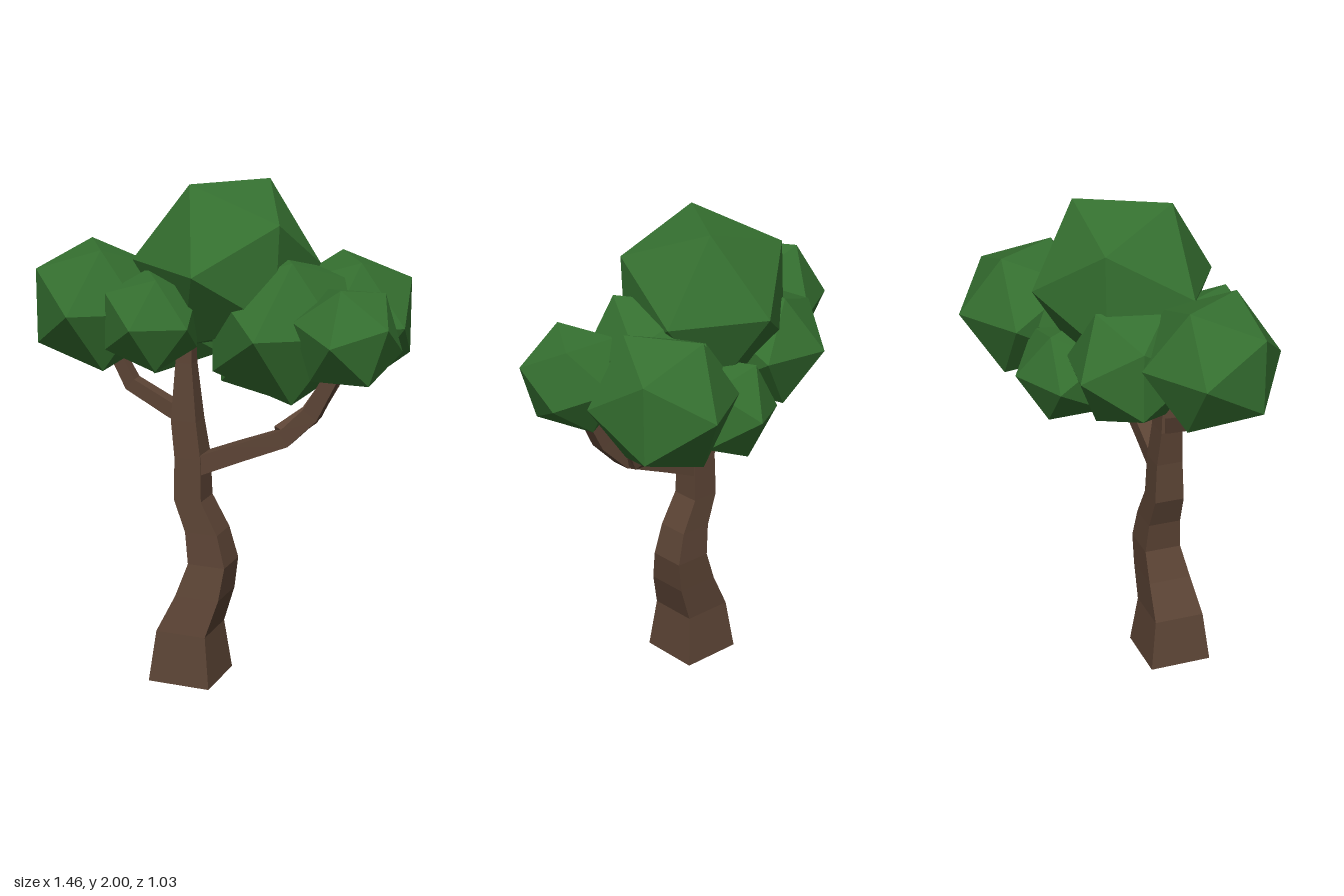
import * as THREE from 'three';

const bark = new THREE.MeshStandardMaterial({ color: 0x5c4435, flatShading: true });
const leaf = new THREE.MeshStandardMaterial({ color: 0x357030, flatShading: true });

// Square-section limb through points [x, y, z, halfWidth, halfDepth].
// ref is the direction one pair of sides keeps facing; level keeps all rings horizontal.
function limb(name, points, ref, level = false) {
  const centres = points.map(p => new THREE.Vector3(p[0], p[1], p[2]));
  const pos = [], index = [], last = points.length - 1;
  points.forEach(([, , , w, d = w], i) => {
    const t = level ? new THREE.Vector3(0, 1, 0)
      : centres[Math.min(i + 1, last)].clone().sub(centres[Math.max(i - 1, 0)]).normalize();
    const n = ref.clone().addScaledVector(t, -ref.dot(t)).normalize();
    const b = new THREE.Vector3().crossVectors(t, n);
    for (const [u, v] of [[1, 1], [-1, 1], [-1, -1], [1, -1]]) {
      const c = centres[i].clone().addScaledVector(b, u * w).addScaledVector(n, v * d);
      pos.push(c.x, c.y, c.z);
    }
  });
  for (let i = 0; i < last; i++) {
    for (let k = 0; k < 4; k++) {
      const a = i * 4 + k, b = i * 4 + (k + 1) % 4;
      // corners run clockwise around the limb direction
      index.push(a, a + 4, b, b, a + 4, b + 4);
    }
  }
  const e = last * 4;
  index.push(0, 1, 2, 0, 2, 3, e, e + 2, e + 1, e, e + 3, e + 2);
  let geo = new THREE.BufferGeometry();
  geo.setAttribute('position', new THREE.Float32BufferAttribute(pos, 3));
  geo.setIndex(index);

  // make the winding face outwards whichever way the section runs
  let volume = 0;
  const P = i => new THREE.Vector3().fromArray(pos, i * 3);
  for (let i = 0; i < index.length; i += 3) {
    volume += P(index[i]).dot(P(index[i + 1]).cross(P(index[i + 2])));
  }
  if (volume < 0) geo.setIndex(index.reverse());
  geo = geo.toNonIndexed();
  geo.computeVertexNormals();
  const mesh = new THREE.Mesh(geo, bark);
  mesh.name = name;
  return mesh;
}

// Icosahedral leaf clump with a corner facing the front, spun about z, then turned about y
function clump(name, x, y, z, r, phase, turn = 0) {
  const geo = new THREE.IcosahedronGeometry(r, 0);
  geo.rotateX(Math.atan(2 / (1 + Math.sqrt(5))));
  geo.rotateZ(THREE.MathUtils.degToRad(phase - 54));
  geo.rotateY(turn);
  const mesh = new THREE.Mesh(geo, leaf);
  mesh.name = name;
  mesh.position.set(x, y, z);
  return mesh;
}

export function createModel() {
  const tree = new THREE.Group();
  tree.name = 'tree';
  const X = new THREE.Vector3(1, 0, 0), Z = new THREE.Vector3(0, 0, 1);

  // Curving trunk, tapering up into the crown
  tree.add(limb('trunk', [
    [-0.09, 0, 0.21, 0.13, 0.13],
    [-0.09, 0.21, 0.21, 0.105, 0.105],
    [-0.032, 0.36, 0.194, 0.092, 0.09],
    [-0.003, 0.49, 0.178, 0.078, 0.077],
    [-0.028, 0.62, 0.178, 0.068, 0.068],
    [-0.088, 0.75, 0.178, 0.058, 0.062],
    [-0.09, 0.92, 0.177, 0.055, 0.055],
    [-0.11, 1.07, 0.178, 0.053, 0.045],
    [-0.115, 1.3, 0.175, 0.034, 0.03],
    [-0.11, 1.45, 0.17, 0.025, 0.025],
  ], Z, true));

  // Branches
  tree.add(limb('leftBranch', [
    [-0.08, 0.88, 0.178, 0.038, 0.052],
    [0.1, 0.955, 0.175, 0.036, 0.045],
    [0.3, 1.035, 0.17, 0.034, 0.038],
    [0.405, 1.14, 0.17, 0.034, 0.032],
    [0.49, 1.3, 0.17, 0.028, 0.028],
    [0.52, 1.4, 0.17, 0.022, 0.022],
  ], Z));
  tree.add(limb('leftBackFork', [
    [0.27, 1.035, 0.15, 0.03],
    [0.345, 1.09, 0.02, 0.03],
    [0.39, 1.2, -0.12, 0.026],
    [0.42, 1.32, -0.2, 0.022],
  ], X));
  tree.add(limb('rightBranch', [
    [-0.1, 1.075, 0.178, 0.03],
    [-0.17, 1.105, 0.178, 0.03],
    [-0.345, 1.195, 0.18, 0.028],
    [-0.4, 1.3, 0.185, 0.024],
    [-0.43, 1.4, 0.19, 0.02],
  ], Z));

  // Foliage
  const clumps = [
    ['crownTop', 0, 1.68, 0.03, 0.37, 33.5],
    ['crownRight', -0.48, 1.51, 0.205, 0.28, 0],
    ['crownRightFront', -0.205, 1.485, 0.305, 0.21, -1],
    ['crownRightBack', -0.265, 1.44, -0.035, 0.26, 36, 0.41],
    ['crownLeftBack', 0.43, 1.44, -0.225, 0.29, 0],
    ['crownLeft', 0.54, 1.45, 0.16, 0.22, 18],
    ['crownLeftFront', 0.235, 1.445, 0.04, 0.325, 0],
    ['crownBack', 0.08, 1.3, -0.17, 0.22, 6],
  ];
  for (const c of clumps) tree.add(clump(...c));
  return tree;
}
